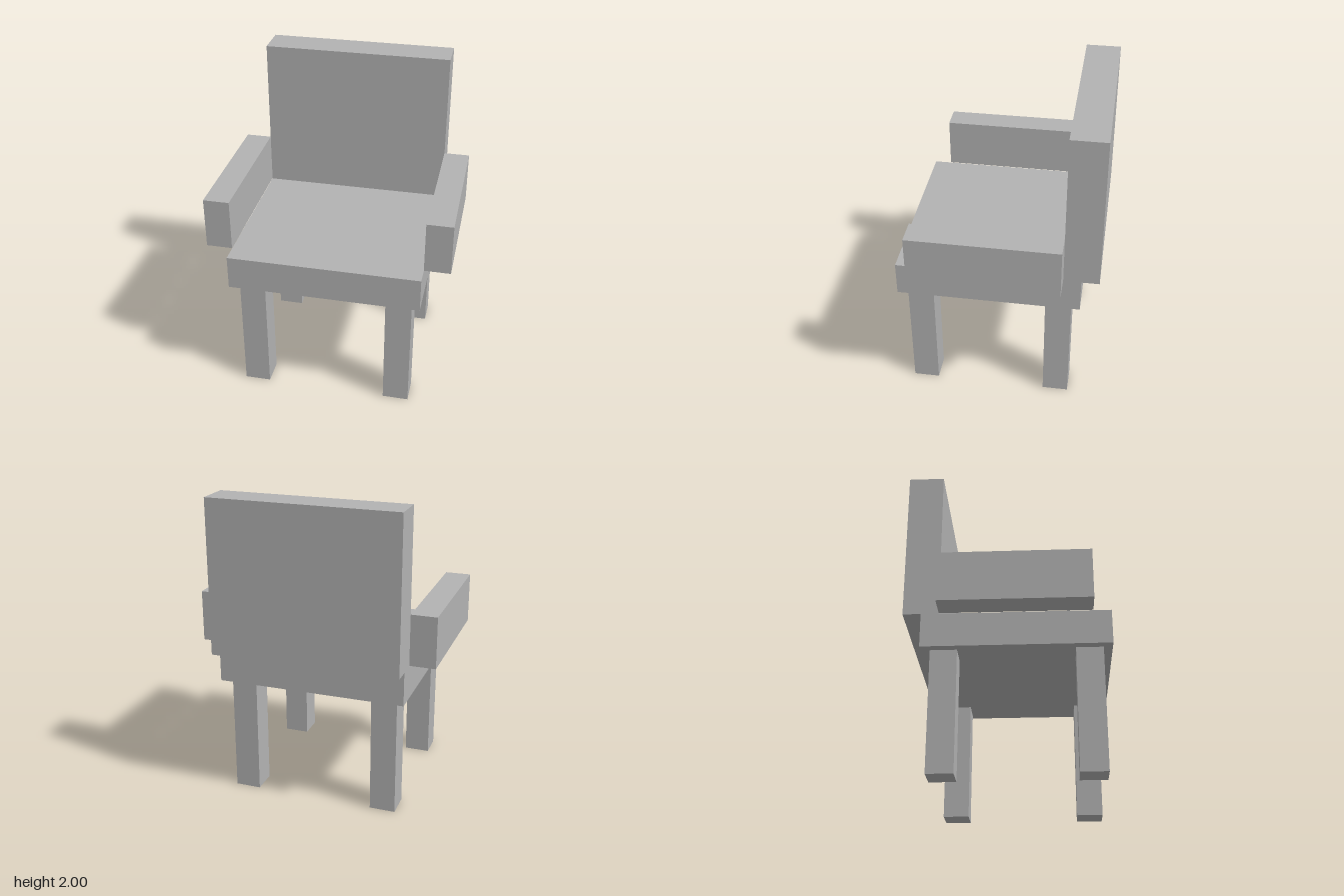
import * as THREE from 'three';

export function createModel() {
  const chair = new THREE.Group();
  chair.name = 'armchair';

  const grey = new THREE.MeshStandardMaterial({ color: 0xb2b2b2 });
  grey.name = 'light grey';

  // Box given by its [min, max] extent on each axis
  function addBox(name, [x0, x1], [y0, y1], [z0, z1]) {
    const mesh = new THREE.Mesh(new THREE.BoxGeometry(x1 - x0, y1 - y0, z1 - z0), grey);
    mesh.position.set((x0 + x1) / 2, (y0 + y1) / 2, (z0 + z1) / 2);
    mesh.name = name;
    chair.add(mesh);
  }

  // Seat and backrest; the backrest overhangs the seat at the rear
  addBox('seat', [-0.611, 0.611], [0.78, 1], [-0.527, 0.639]);
  addBox('backrest', [-0.611, 0.611], [1, 2], [-0.639, -0.416]);

  // Mirrored armrests and legs
  for (const [side, s] of [['left', 1], ['right', -1]]) {
    const span = (a, b) => (s > 0 ? [a, b] : [-b, -a]);
    addBox(side + 'Armrest', span(0.611, 0.777), [1.003, 1.333], [-0.416, 0.528]);
    addBox(side + 'FrontLeg', span(0.389, 0.555), [0, 0.78], [0.417, 0.584]);
    addBox(side + 'BackLeg', span(0.389, 0.555), [0, 0.78], [-0.47, -0.304]);
  }

  return chair;
}
